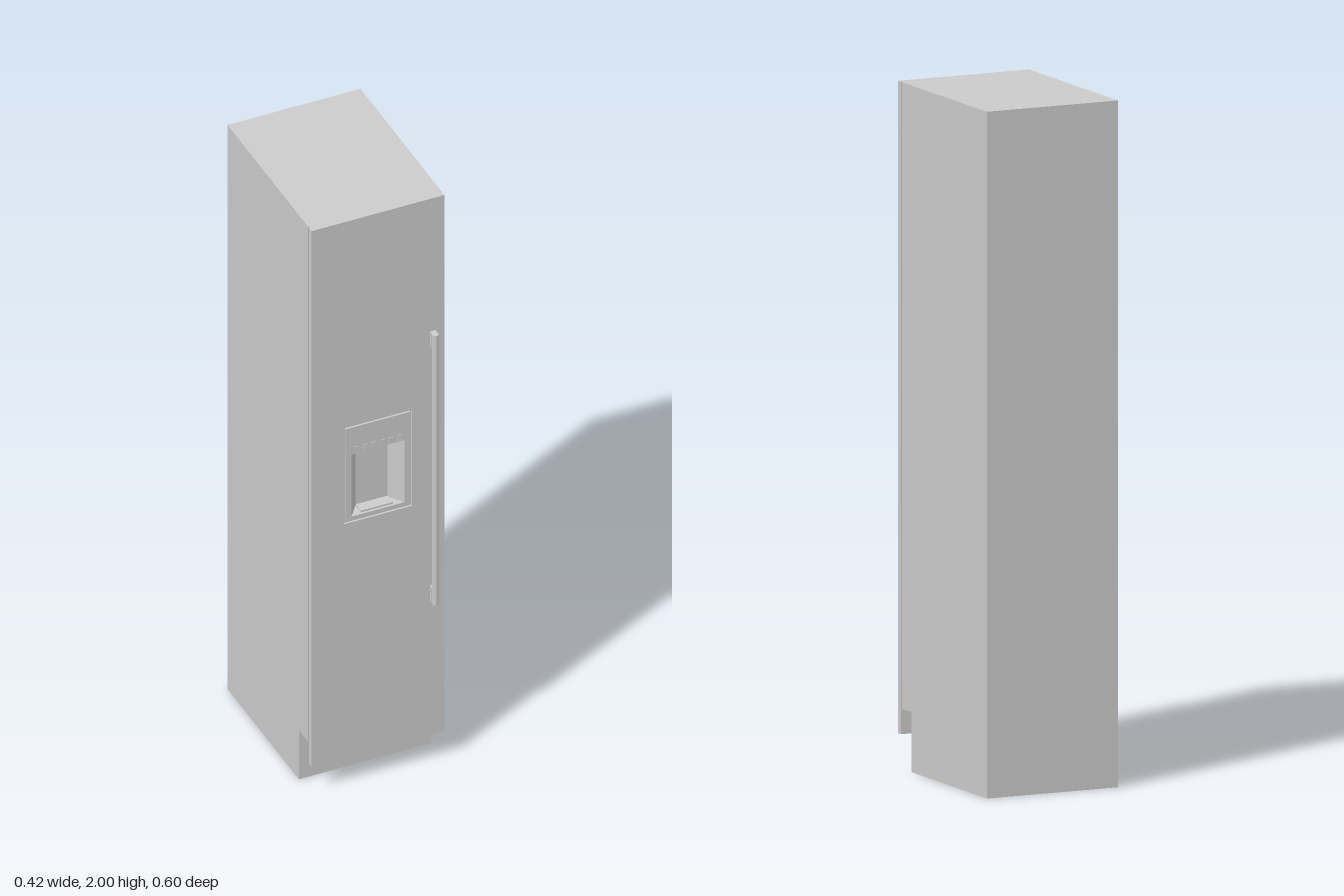
import * as THREE from 'three';

const grey = new THREE.MeshStandardMaterial({ color: 0xcccccc, flatShading: true });
const smooth = new THREE.MeshStandardMaterial({ color: 0xcccccc });
const liner = new THREE.MeshStandardMaterial({ color: 0xcccccc, flatShading: true, side: THREE.DoubleSide });

export function createModel() {
  const model = new THREE.Group();
  const add = (name, geometry, material = grey) => {
    const mesh = new THREE.Mesh(geometry, material);
    mesh.name = name;
    model.add(mesh);
    return mesh;
  };
  // Box given by its lower and upper limits on each axis
  const box = (name, x0, x1, y0, y1, z0, z1) => {
    const mesh = add(name, new THREE.BoxGeometry(x1 - x0, y1 - y0, z1 - z0));
    mesh.position.set((x0 + x1) / 2, (y0 + y1) / 2, (z0 + z1) / 2);
    return mesh;
  };
  const corners = (w, y0, y1) => [[-w, y0], [w, y0], [w, y1], [-w, y1]].map(p => new THREE.Vector2(...p));
  // Upright slab with a rectangular opening
  const slab = (name, w, y0, y1, z0, z1, hole) => {
    const shape = new THREE.Shape(corners(w, y0, y1));
    shape.holes.push(new THREE.Path(corners(...hole)));
    const mesh = add(name, new THREE.ExtrudeGeometry(shape, { depth: z1 - z0, bevelEnabled: false }));
    mesh.position.z = z0;
    return mesh;
  };

  const opening = [0.084, 0.95, 1.17];
  const frame = [0.107, 0.93, 1.27];
  const front = 0.272, back = 0.228;

  // Cabinet, stepped back at the bottom for the toe kick
  box('cabinetRear', -0.21, 0.21, 0, 2, -0.3, 0.185);
  box('cabinetMiddle', -0.21, 0.21, 0.175, 2, 0.185, 0.222);
  slab('cabinetFront', 0.21, 0.175, 2, 0.222, 0.247, opening);
  slab('doorSeal', 0.206, 0.175, 2, 0.247, 0.253, opening);

  // Door, hanging lower than the cabinet front
  slab('doorBack', 0.21, 0.1, 2, 0.253, 0.266, opening);
  slab('doorFront', 0.21, 0.1, 2, 0.266, front, frame);

  // Dispenser panel, separated from the door by a narrow groove
  slab('dispenserPanel', 0.102, 0.935, 1.265, 0.266, front, opening);

  // Dispenser recess with flared side walls
  const [w, y0, y1] = opening;
  const ring = [[-w, front], [-0.051, back], [0.051, back], [w, front]];
  const points = [y0, y1].flatMap(y => ring.map(([x, z]) => [x, y, z])).flat();
  const recess = new THREE.BufferGeometry();
  recess.setAttribute('position', new THREE.Float32BufferAttribute(points, 3));
  const faces = [0, 3, 2, 0, 2, 1, 4, 5, 6, 4, 6, 7];
  for (let i = 0; i < 3; i++) faces.push(i, i + 1, i + 5, i, i + 5, i + 4);
  recess.setIndex(faces);
  const recessFlat = recess.toNonIndexed();
  recessFlat.computeVertexNormals();
  add('dispenserRecess', recessFlat, liner);
  box('dripTray', -0.05, 0.05, 0.95, 0.956, 0.23, 0.265);

  // Row of buttons above the recess
  for (let i = 0; i < 6; i++) {
    const x = (i - 2.5) * 0.027;
    box('button', x - 0.007, x + 0.007, 1.173, 1.194, 0.268, 0.274);
  }

  // Handle bar on two mounts
  const bar = add('handleBar', new THREE.CylinderGeometry(0.0095, 0.0095, 0.955, 24), smooth);
  bar.position.set(0.173, 1.0525, 0.2905);
  for (const y of [0.575, 1.475]) box('handleMount', 0.164, 0.182, y, y + 0.055, 0.27, 0.283);

  return model;
}
